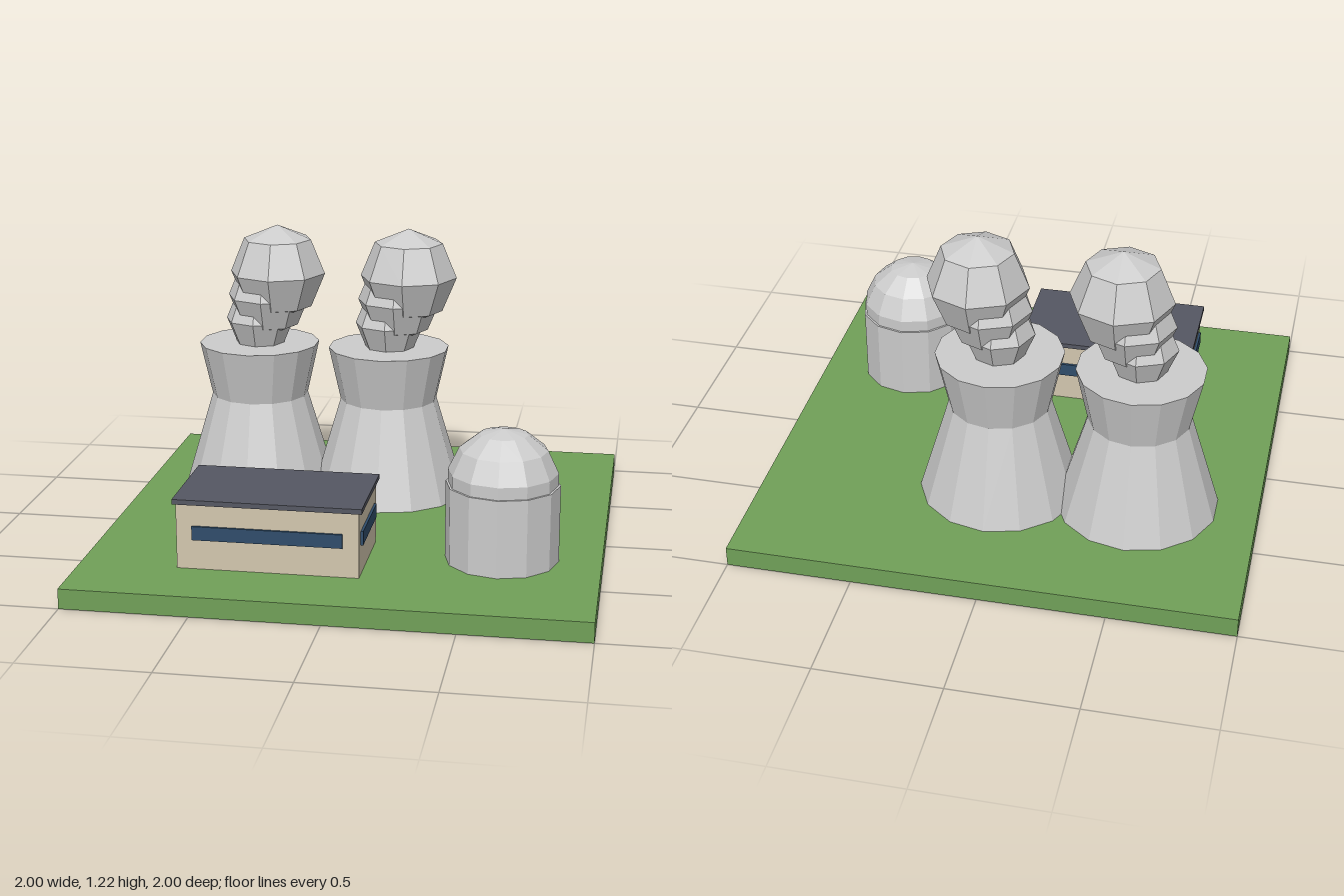
import * as THREE from 'three';

const material = (color) => new THREE.MeshStandardMaterial({ color, flatShading: true });

export function createModel() {
  const model = new THREE.Group();
  const grey = material(0xcccccc);
  const green = material(0x70a058);
  const wall = material(0xd2c6ae);
  const slate = material(0x555762);
  const glass = material(0x2f4c6a);

  const add = (parent, name, geometry, mat, x, y, z) => {
    const mesh = new THREE.Mesh(geometry, mat);
    mesh.name = name;
    mesh.position.set(x, y, z);
    parent.add(mesh);
    return mesh;
  };
  const group = (name, x, z) => {
    const g = new THREE.Group();
    g.name = name;
    g.position.set(x, 0.08, z); // stands on the ground slab
    model.add(g);
    return g;
  };

  add(model, 'ground', new THREE.BoxGeometry(2, 0.08, 2), green, 0, 0.04, 0);

  // Two cooling towers with drifting steam
  for (const [side, x] of [['right', -0.513], ['left', 0.047]]) {
    const tower = group(side + 'CoolingTower', x, -0.36);
    add(tower, 'towerBase', new THREE.CylinderGeometry(0.205, 0.327, 0.41, 14), grey, 0, 0.205, 0);
    add(tower, 'towerCollar', new THREE.CylinderGeometry(0.255, 0.205, 0.225, 14), grey, 0, 0.5225, 0);

    // Steam puffs grow as they rise and lean to one side
    for (let i = 0; i < 3; i++) {
      add(tower, 'steamPuff', new THREE.SphereGeometry(0.145 + 0.029 * i, 8, 4), grey,
        0.003 + 0.04 * i, 0.735 + 0.103 * i, 0);
    }
  }

  // Reactor: drum with a domed roof
  const reactor = group('reactor', 0.61, 0.41);
  add(reactor, 'reactorDrum', new THREE.CylinderGeometry(0.223, 0.223, 0.31, 12), grey, 0, 0.155, 0);
  add(reactor, 'reactorDome', new THREE.SphereGeometry(0.22, 12, 7), grey, 0, 0.31, 0);

  // Control building with window bands on all four sides
  const building = group('controlBuilding', -0.259, 0.508);
  add(building, 'walls', new THREE.BoxGeometry(0.71, 0.26, 0.41), wall, 0, 0.13, 0);
  add(building, 'roof', new THREE.BoxGeometry(0.735, 0.02, 0.43), slate, 0, 0.27, 0);
  add(building, 'longWindows', new THREE.BoxGeometry(0.585, 0.055, 0.43), glass, 0, 0.147, 0);
  add(building, 'endWindows', new THREE.BoxGeometry(0.73, 0.055, 0.33), glass, 0, 0.147, 0);

  return model;
}
